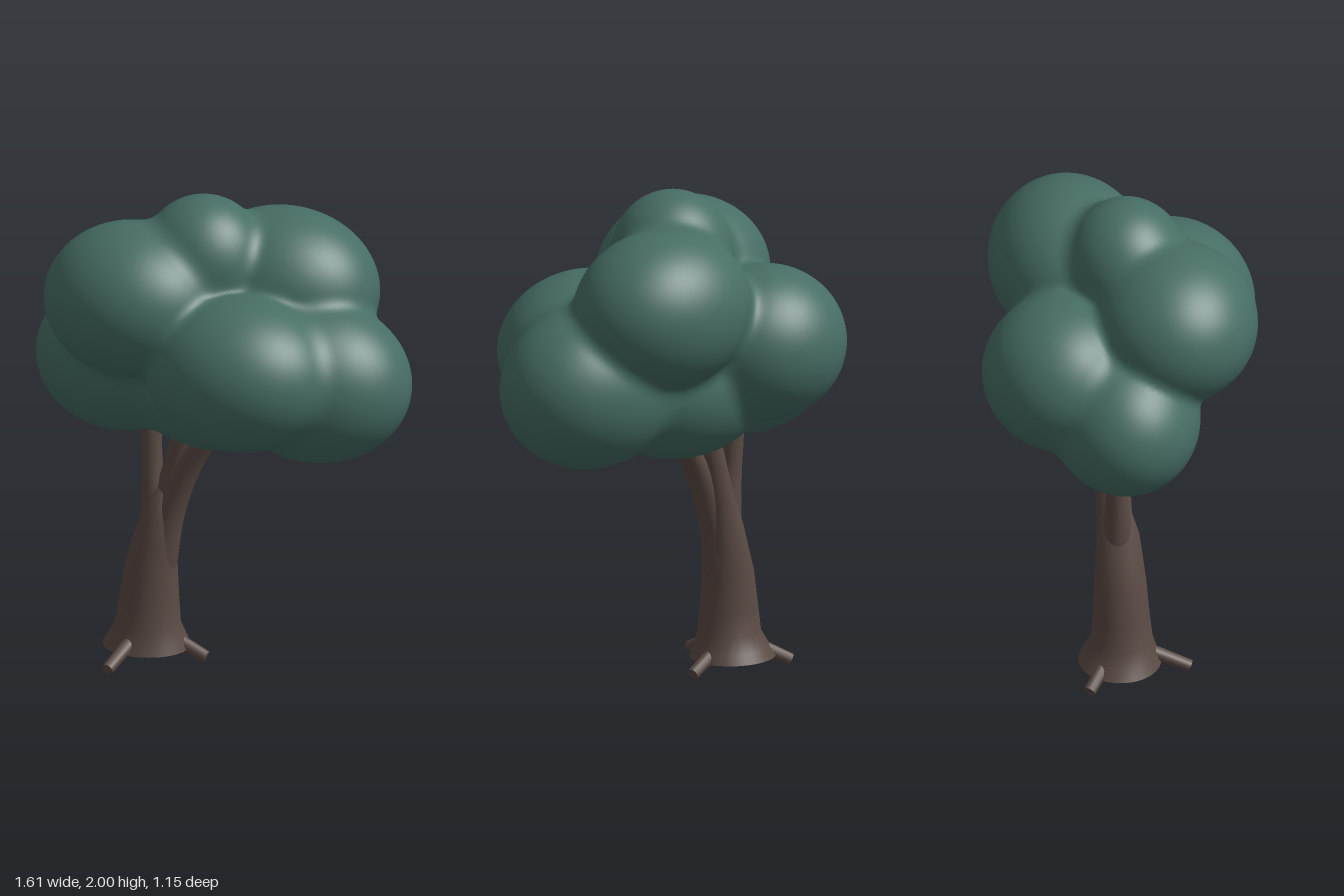
import * as THREE from 'three';
import { mergeVertices } from 'three/addons/utils/BufferGeometryUtils.js';

const leafGreen = new THREE.MeshStandardMaterial({ color: 0x466d64 });
leafGreen.name = 'leafGreen';
const barkBrown = new THREE.MeshStandardMaterial({ color: 0x5a4a44 });
barkBrown.name = 'barkBrown';

// Leaf lobes: centre x, y, z and radii x, y, z
const lobes = [
  [-0.04, 1.25, -0.04, 0.42, 0.315, 0.33], // core
  [-0.3, 1.59, 0.19, 0.365, 0.31, 0.33],   // upper front
  [0.19, 1.37, 0.245, 0.385, 0.31, 0.33],  // lower front
  [0.19, 1.6, -0.165, 0.39, 0.32, 0.32],   // upper back
  [-0.3, 1.39, -0.255, 0.335, 0.31, 0.32], // lower back
  [-0.45, 1.26, -0.03, 0.355, 0.305, 0.3], // right end
  [0.41, 1.3, 0.02, 0.395, 0.33, 0.32],    // left end
  [-0.07, 1.74, 0.03, 0.25, 0.26, 0.24],   // crown
];

// Distance to all lobes, softly blended
function foliageDistance(p) {
  const blend = 0.05;
  let result = Infinity;
  for (const [cx, cy, cz, rx, ry, rz] of lobes) {
    const x = (p.x - cx) / rx, y = (p.y - cy) / ry, z = (p.z - cz) / rz;
    const k0 = Math.hypot(x, y, z);
    const k1 = Math.hypot(x / rx, y / ry, z / rz);
    const d = k0 * (k0 - 1) / Math.max(k1, 1e-6);
    const h = Math.max(blend - Math.abs(result - d), 0) / blend;
    result = Math.min(result, d) - (h > 0 ? h * h * blend / 4 : 0);
  }
  return result;
}

// Shrink a fine sphere inwards until it rests on the blended lobes
function foliageGeometry() {
  let geo = new THREE.IcosahedronGeometry(1, 44);
  geo.deleteAttribute('uv');
  geo.deleteAttribute('normal');
  geo = mergeVertices(geo, 1e-5);
  const pos = geo.attributes.position;
  const centre = new THREE.Vector3(0, 1.4, 0);
  const dir = new THREE.Vector3(), p = new THREE.Vector3();
  for (let i = 0; i < pos.count; i++) {
    dir.fromBufferAttribute(pos, i).normalize();
    let r = 1.2;
    for (let s = 0; s < 90; s++) {
      p.copy(centre).addScaledVector(dir, r);
      const d = foliageDistance(p);
      if (d < 0.0005) break;
      r -= d * 0.75;
    }
    pos.setXYZ(i, p.x, p.y, p.z);
  }
  geo.computeVertexNormals();
  return geo;
}

// Loft through level rings: x, y, z, radius x, radius z
function loft(rows, sides = 28) {
  const verts = [], index = [];
  rows.forEach(([x, y, z, rx, rz = rx], j) => {
    for (let i = 0; i < sides; i++) {
      const a = (i / sides) * Math.PI * 2;
      verts.push(x + Math.cos(a) * rx, y, z + Math.sin(a) * rz);
      if (j === rows.length - 1) continue;
      const n = (i + 1) % sides;
      const a0 = j * sides + i, a1 = j * sides + n;
      index.push(a0, a0 + sides, a1, a1, a0 + sides, a1 + sides);
    }
  });
  const geo = new THREE.BufferGeometry();
  geo.setAttribute('position', new THREE.Float32BufferAttribute(verts, 3));
  geo.setIndex(index);
  geo.computeVertexNormals();
  return geo;
}

// Smooth a short list of rings along a curve
function smoothRows(rows, steps = 18) {
  const path = new THREE.CatmullRomCurve3(rows.map(r => new THREE.Vector3(r[0], r[1], r[2])));
  const size = new THREE.SplineCurve(rows.map(r => new THREE.Vector2(r[3], 0)));
  return Array.from({ length: steps + 1 }, (_, i) => {
    const p = path.getPoint(i / steps);
    return [p.x, p.y, p.z, size.getPoint(i / steps).x];
  });
}

export function createModel() {
  const tree = new THREE.Group();
  tree.name = 'tree';
  const add = (name, geo, mat) => {
    const mesh = new THREE.Mesh(geo, mat);
    mesh.name = name;
    tree.add(mesh);
    return mesh;
  };

  add('foliage', foliageGeometry(), leafGreen);

  // Trunk with flared foot; the repeated ring keeps the underside edge sharp
  add('trunk', loft([
    [-0.35, 0.05, -0.035, 0],
    [-0.35, 0.05, -0.035, 0.178, 0.165],
    [-0.35, 0.05, -0.035, 0.178, 0.165],
    [-0.345, 0.09, -0.032, 0.158, 0.147],
    [-0.34, 0.15, -0.025, 0.132, 0.122],
    [-0.336, 0.25, -0.028, 0.12, 0.114],
    [-0.328, 0.4, -0.03, 0.104, 0.104],
    [-0.31, 0.5, -0.032, 0.092, 0.095],
    [-0.294, 0.6, -0.035, 0.076, 0.086],
    [-0.28, 0.7, -0.04, 0.055, 0.06],
    [-0.27, 0.78, -0.045, 0],
  ]), barkBrown);

  // Three limbs growing out of the trunk into the leaves
  const limbs = {
    rightLimb: [[-0.3, 0.5, -0.035, 0.07], [-0.318, 0.68, -0.04, 0.054],
      [-0.331, 0.82, -0.045, 0.043], [-0.338, 0.97, -0.05, 0.042], [-0.335, 1.12, -0.05, 0.04]],
    middleLimb: [[-0.295, 0.48, -0.045, 0.075], [-0.262, 0.68, -0.053, 0.064],
      [-0.225, 0.83, -0.057, 0.055], [-0.188, 0.97, -0.058, 0.05], [-0.14, 1.12, -0.06, 0.046]],
    leftLimb: [[-0.3, 0.38, -0.03, 0.075], [-0.25, 0.6, -0.028, 0.06],
      [-0.178, 0.8, -0.028, 0.056], [-0.09, 0.95, -0.03, 0.052], [0.02, 1.1, -0.03, 0.048]],
  };
  for (const [name, rows] of Object.entries(limbs)) add(name, loft(smoothRows(rows), 20), barkBrown);

  // Three stubby roots sloping down to the ground
  const rootTips = { leftRoot: [-0.1, -0.055], frontRoot: [-0.395, 0.24], backRoot: [-0.53, -0.18] };
  for (const [name, [x, z]] of Object.entries(rootTips)) {
    const tip = new THREE.Vector3(x, 0.024, z);
    const start = new THREE.Vector3(-0.345, 0, -0.035).lerp(tip, 0.4).setY(0.095);
    const dir = tip.clone().sub(start);
    const root = add(name, new THREE.CylinderGeometry(0.025, 0.028, dir.length(), 12), barkBrown);
    root.position.copy(start).add(tip).multiplyScalar(0.5);
    root.quaternion.setFromUnitVectors(new THREE.Vector3(0, 1, 0), dir.normalize());
  }
  return tree;
}
